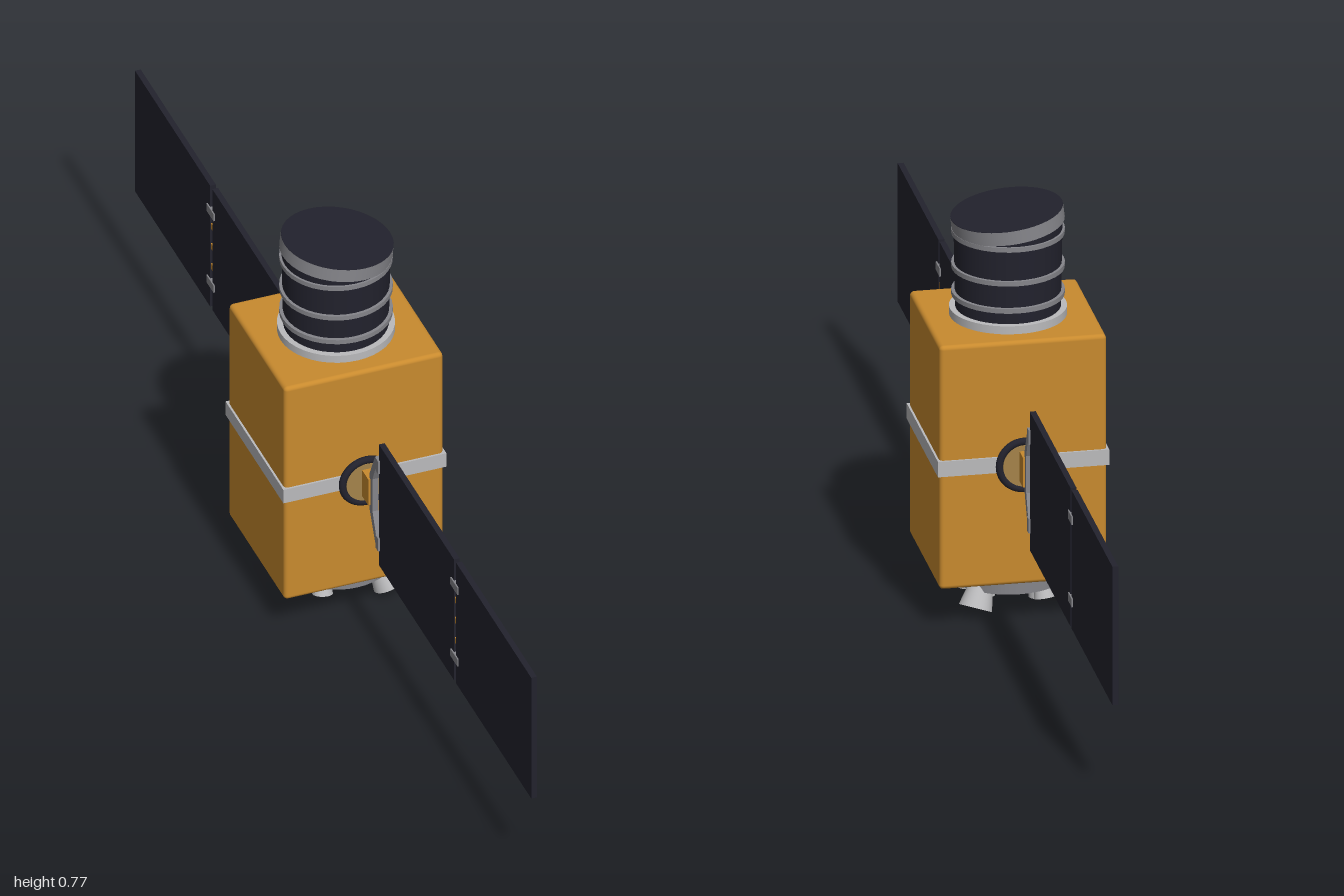
import * as THREE from 'three';
import { RoundedBoxGeometry } from 'three/addons/geometries/RoundedBoxGeometry.js';

const mat = (name, color, side = THREE.FrontSide) => {
  const m = new THREE.MeshStandardMaterial({ color, side });
  m.name = name;
  return m;
};

export function createModel() {
  const gold = mat('gold foil', 0xc88a2e);
  const tan = mat('tan hub', 0xa5834a);
  const dark = mat('dark panel', 0x22222d);
  const grey = mat('grey metal', 0x85858a);
  const silver = mat('silver', 0xbababc);

  const model = new THREE.Group();
  model.name = 'satellite';

  const add = (parent, name, geometry, material, x = 0, y = 0, z = 0) => {
    const mesh = new THREE.Mesh(geometry, material);
    mesh.name = name;
    mesh.position.set(x, y, z);
    parent.add(mesh);
    return mesh;
  };
  const box = (w, h, d) => new THREE.BoxGeometry(w, h, d);
  const cyl = (top, bottom, h, n = 40) => new THREE.CylinderGeometry(top, bottom, h, n);

  // Foil-wrapped body and its belt
  add(model, 'body', new RoundedBoxGeometry(0.308, 0.474, 0.284, 3, 0.008), gold, 0, 0.32, 0);
  add(model, 'belt', box(0.316, 0.03, 0.292), silver, 0, 0.32, 0);

  // Telescope tube with stiffening rings
  add(model, 'telescopeBase', cyl(0.107, 0.107, 0.017), silver, 0, 0.564, 0);
  add(model, 'telescopeTube', cyl(0.099, 0.096, 0.168), dark, 0, 0.656, 0);
  for (const y of [0.6, 0.653, 0.719]) {
    add(model, 'tubeRing', cyl(0.103, 0.103, 0.009), grey, 0, y, 0);
  }

  // Slanted hood with a dark lid
  const hood = new THREE.Group();
  hood.name = 'hood';
  hood.position.set(0.001, 0.744, 0);
  hood.rotation.z = -0.122;
  model.add(hood);
  add(hood, 'hoodRim', cyl(0.103, 0.103, 0.026), [grey, dark, dark], 0, 0, 0);
  add(hood, 'hoodLid', cyl(0.1025, 0.1025, 0.002), dark, 0, 0.0125, 0);

  // Engine plate under the body
  add(model, 'enginePlate', cyl(0.108, 0.108, 0.034), [grey, grey, dark], 0, 0.067, 0);
  add(model, 'antennaPost', cyl(0.015, 0.015, 0.052, 24), silver, -0.053, 0.026, 0);

  // Nozzle that points from its top to its mouth
  const nozzle = (name, from, to, rTop, rMouth) => {
    const a = new THREE.Vector3(...from), b = new THREE.Vector3(...to);
    const mesh = add(model, name, cyl(rTop, rMouth, a.distanceTo(b), 28), [silver, silver, dark]);
    mesh.position.copy(a).add(b).multiplyScalar(0.5);
    mesh.quaternion.setFromUnitVectors(new THREE.Vector3(0, 1, 0), a.sub(b).normalize());
  };
  for (const s of [1, -1]) {
    nozzle('largeNozzle', [0.06, 0.06, s * 0.06], [0.075, 0.016, s * 0.075], 0.021, 0.031);
    nozzle('smallNozzle', [-0.05, 0.055, s * 0.062], [-0.053, 0.025, s * 0.07], 0.013, 0.019);
    nozzle('smallNozzle', [0.048, 0.055, s * 0.035], [0.05, 0.026, s * 0.04], 0.013, 0.018);
  }

  // One solar wing pointing to +z
  const makeWing = () => {
    const wing = new THREE.Group();
    wing.name = 'solarWing';
    wing.position.y = 0.32;

    // Rotary joint
    add(wing, 'jointBase', cyl(0.046, 0.046, 0.014), grey, 0, 0, 0.148).rotation.x = Math.PI / 2;
    add(wing, 'jointRing', new THREE.TorusGeometry(0.046, 0.007, 10, 40), dark, 0, 0, 0.153);
    add(wing, 'jointFace', cyl(0.04, 0.04, 0.006), tan, 0, 0, 0.155).rotation.x = Math.PI / 2;
    add(wing, 'jointArm', box(0.02, 0.058, 0.034), gold, 0, 0, 0.172);

    // Bracket that carries the panels: C-shaped outline in z and y
    const outer = [[0.236, 0.096], [0.213, 0.096], [0.185, 0.04]];
    const inner = [[0.236, 0.083], [0.22, 0.083], [0.2, 0.036]];
    const mirror = (list) => list.map(([z, y]) => [z, -y]).reverse();
    const outline = [...outer, ...mirror(outer), ...inner.map(([z, y]) => [z, -y]), ...inner.slice().reverse()];
    const shape = new THREE.Shape(outline.map(([z, y]) => new THREE.Vector2(z, y)));
    const bracket = new THREE.ExtrudeGeometry(shape, { depth: 0.012, bevelEnabled: false });
    bracket.rotateY(-Math.PI / 2);
    add(wing, 'bracket', bracket, grey, 0.006, 0, 0);

    // Panels, hinges and the small pins between them
    add(wing, 'innerPanel', box(0.011, 0.27, 0.379), dark, 0, 0, 0.4205);
    add(wing, 'outerPanel', box(0.011, 0.27, 0.379), dark, 0, 0, 0.8105);
    for (const y of [-0.08, 0.08]) {
      add(wing, 'panelHinge', box(0.016, 0.016, 0.036), grey, 0, y, 0.6155);
      add(wing, 'rootHinge', box(0.018, 0.028, 0.014), grey, 0, y * 1.08, 0.229);
    }
    for (const y of [-0.045, 0, 0.045]) {
      add(wing, 'hingePin', box(0.008, 0.012, 0.014), gold, 0, y, 0.6155);
    }
    return wing;
  };
  const frontWing = makeWing();
  const backWing = makeWing();
  backWing.rotation.y = Math.PI;
  model.add(frontWing, backWing);

  return model;
}
